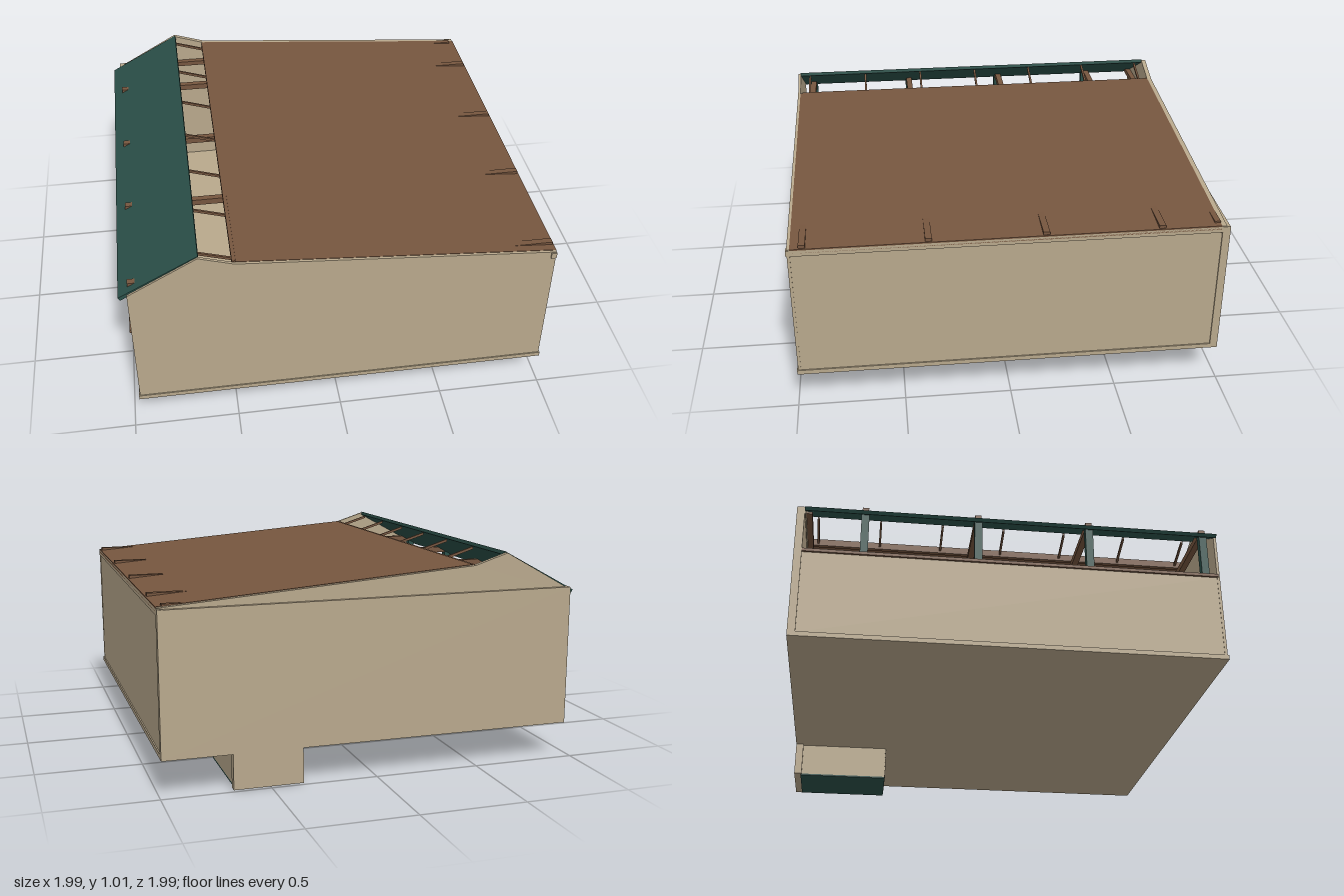
import * as THREE from 'three';

export function createModel() {
  const model = new THREE.Group();
  const paint = (name, color) => {
    const m = new THREE.MeshStandardMaterial({ color });
    m.name = name;
    return m;
  };
  const tan = paint('tan wall', 0xb8a88c);
  const brown = paint('brown timber', 0x76563f);
  const green = paint('dark green', 0x2b5049);

  const add = (name, geometry, material) => {
    const mesh = new THREE.Mesh(geometry, material);
    mesh.name = name;
    model.add(mesh);
    return mesh;
  };
  // Box given by its limits on each axis
  const box = (name, material, x0, x1, y0, y1, z0, z1) => {
    const g = new THREE.BoxGeometry(x1 - x0, y1 - y0, z1 - z0);
    g.translate((x0 + x1) / 2, (y0 + y1) / 2, (z0 + z1) / 2);
    return add(name, g, material);
  };
  // Outline in x and y, carried along z
  const prism = (name, material, points, z0, z1) => {
    const shape = new THREE.Shape(points.map(([x, y]) => new THREE.Vector2(x, y)));
    const g = new THREE.ExtrudeGeometry(shape, { depth: z1 - z0, bevelEnabled: false });
    g.translate(0, 0, z0);
    return add(name, g, material);
  };

  // Floor slab
  box('floor', tan, -0.965, 0.992, 0.17, 0.192, -0.99, 0.993);

  // Gabled front wall, and back wall with a set-back gable
  const gable = [[0.99, 0.838], [-0.48, 0.953], [-0.64, 1.004], [-0.96, 0.825]];
  prism('frontWall', tan, [[-0.96, 0.19], [0.987, 0.19], ...gable], 0.975, 0.988);
  box('backWall', tan, -0.965, 0.992, 0.17, 0.832, -0.993, -0.957);
  prism('backGable', tan, [[-0.96, 0.8], [0.987, 0.8], ...gable], -0.975, -0.952);

  // Long side walls: one full height, one with an open window band
  box('leftWall', tan, 0.968, 0.986, 0.19, 0.83, -0.96, 0.98);
  box('leftWallPlate', tan, 0.966, 0.992, 0.805, 0.834, -0.99, 0.993);
  box('rightWall', tan, -0.958, -0.938, 0.19, 0.598, -0.96, 0.98);
  box('windowSill', brown, -0.968, -0.925, 0.597, 0.612, -0.957, 0.98);

  // Main sloping roof with a beam under its upper edge
  prism('mainRoof', brown,
    [[-0.475, 0.935], [0.992, 0.82], [0.992, 0.84], [-0.475, 0.955]], -0.952, 0.975);
  box('roofEdgeBeam', brown, -0.492, -0.472, 0.918, 0.953, -0.952, 0.965);

  // Steep raised roof over the window band
  prism('raisedRoof', green,
    [[-0.99, 0.797], [-0.635, 0.992], [-0.638, 1.009], [-1.0, 0.812]], -0.955, 0.978);

  // Tie beams through both roofs, on window posts
  for (const z of [-0.68, -0.155, 0.37, 0.922]) {
    box('tieBeam', brown, -0.955, 0.985, 0.825, 0.855, z - 0.015, z + 0.015);
    box('windowPost', green, -0.962, -0.928, 0.61, 0.83, z - 0.018, z + 0.018);
  }
  box('backTieBeam', brown, -0.92, 0.965, 0.825, 0.85, -0.952, -0.925);

  // Slim rafters across the open slot below the ridge
  for (let i = 0; i < 7; i++) {
    const z = -0.91 + i * 0.306;
    prism('slotRafter', brown,
      [[-0.64, 0.975], [-0.48, 0.925], [-0.48, 0.938], [-0.64, 0.988]], z - 0.005, z + 0.005);
  }

  // Entry box below the floor, with a slatted front
  box('entryBox', tan, 0.365, 0.66, 0.008, 0.171, -0.96, -0.512);
  box('entryBackPanel', tan, 0.35, 0.673, 0.005, 0.171, -0.993, -0.955);
  box('entryBase', green, 0.365, 0.66, 0, 0.008, -0.96, -0.51);
  for (let i = 0; i < 6; i++) {
    const y = 0.02 + i * 0.025;
    box('entrySlat', tan, 0.368, 0.657, y, y + 0.022, -0.513, -0.508);
  }

  return model;
}
